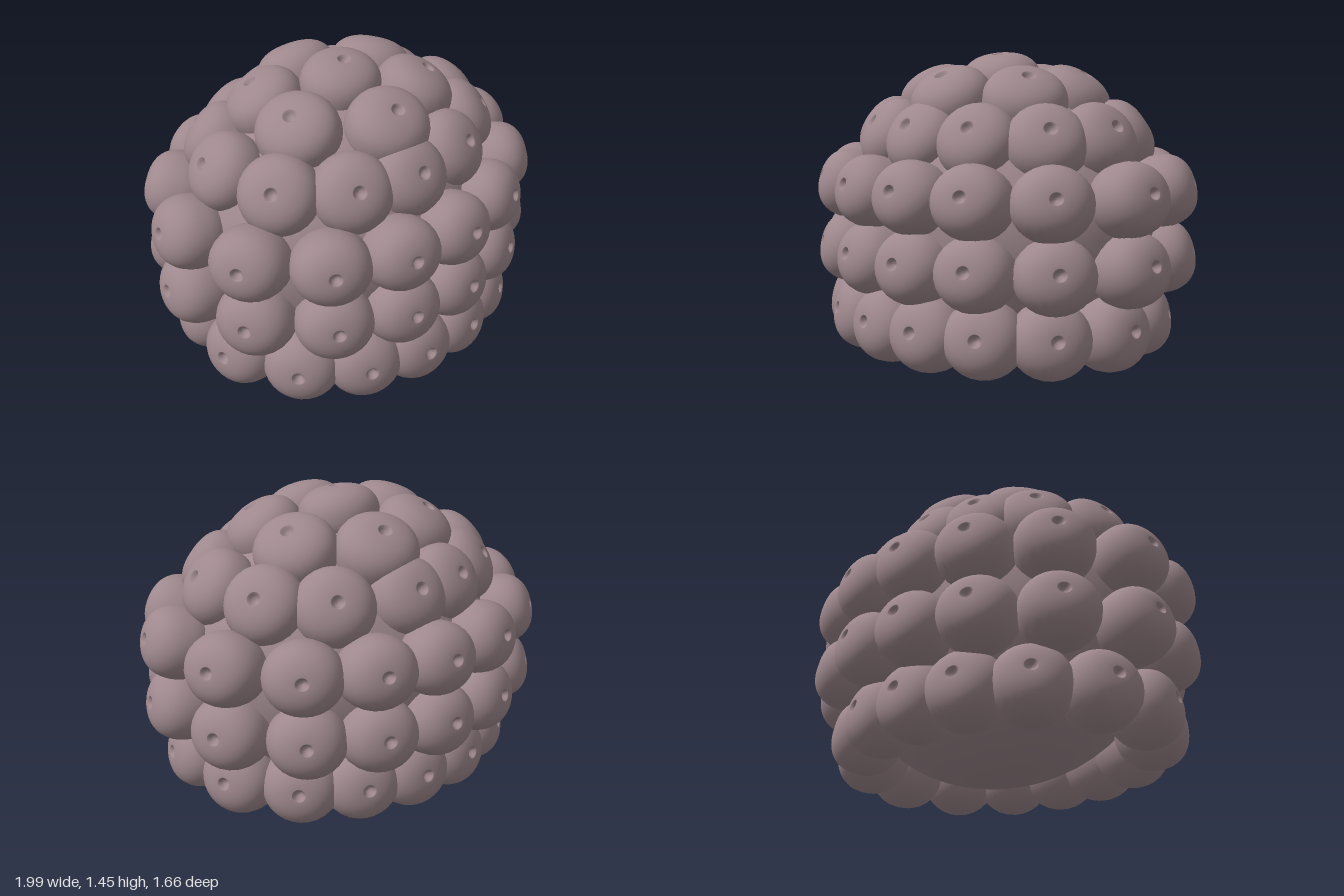
import * as THREE from 'three';

const rad = THREE.MathUtils.degToRad;
const UP = new THREE.Vector3(0, 1, 0);

// Rounded, blunt bump of unit radius with a small pit at its tip
function bumpGeometry() {
  const points = [];
  const pit = 0.16, power = 2 / 2.45;
  for (let i = 0; i <= 10; i++) {
    const a = (i / 10) * Math.PI / 2;
    points.push(new THREE.Vector2(Math.sin(a), -Math.cos(a)));
  }
  for (let i = 1; i <= 12; i++) {
    const a = (i / 12) * (Math.PI / 2 - 0.12);
    points.push(new THREE.Vector2(Math.cos(a) ** power, Math.sin(a) ** power));
  }
  points.push(
    new THREE.Vector2(pit, 0.98),
    new THREE.Vector2(pit * 0.75, 0.92),
    new THREE.Vector2(pit * 0.5, 0.84),
    new THREE.Vector2(0, 0.82)
  );
  return new THREE.LatheGeometry(points, 28);
}

export function createModel() {
  const model = new THREE.Group();
  model.name = 'berry';
  const skin = new THREE.MeshStandardMaterial({ color: 0x9e888d });
  skin.name = 'dusty mauve';

  // Smooth inner body that closes the gaps and forms the underside
  const core = new THREE.Mesh(new THREE.SphereGeometry(1, 48, 32), skin);
  core.name = 'core';
  core.scale.set(0.81, 0.65, 0.67);
  core.position.y = 0.652;
  model.add(core);

  const even = (count, start) =>
    Array.from({ length: count }, (_, i) => start + (i * 360) / count);

  // Rings of bumps: oval radii, height, z shift, upward tilt,
  // bump size [half width, depth, half height], angles from +x towards +z
  const rings = [
    { name: 'bottomRing', rx: 0.725, rz: 0.6, y: 0.213, z: 0.035, tilt: 12,
      size: [0.185, 0.17, 0.178], angles: even(15, 2) },
    { name: 'lowerRing', rx: 0.82, rz: 0.66, y: 0.508, z: 0, tilt: 14,
      size: [0.184, 0.17, 0.172], angles: even(14, 3) },
    { name: 'middleRing', rx: 0.82, rz: 0.66, y: 0.817, z: 0, tilt: 17,
      size: [0.184, 0.17, 0.169], angles: even(14, 4) },
    { name: 'upperRing', rx: 0.61, rz: 0.475, y: 1.05, z: 0, tilt: 34,
      size: [0.188, 0.155, 0.185], angles: [2, 26, 57, 92, 124, 156, 185, 211, 236, 263, 303, 334] },
    { name: 'crownRing', rx: 0.35, rz: 0.325, y: 1.225, z: 0, tilt: 60,
      size: [0.2, 0.15, 0.19], angles: [28, 90, 161, 211, 270, 334] },
    { name: 'topBump', rx: 0, rz: 0, y: 1.305, z: 0, tilt: 80,
      size: [0.2, 0.145, 0.185], angles: [80] }
  ];

  const geometry = bumpGeometry();
  for (const ring of rings) {
    const group = new THREE.Group();
    group.name = ring.name;
    for (const angle of ring.angles) {
      const c = Math.cos(rad(angle)), s = Math.sin(rad(angle));
      const a = ring.rx || 1, b = ring.rz || 1;
      const dist = ring.rx ? 1 / Math.hypot(c / a, s / b) : 0;
      const bump = new THREE.Mesh(geometry, skin);
      bump.name = 'bump';
      bump.position.set(dist * c, ring.y, ring.z + dist * s);
      bump.scale.set(...ring.size);
      // Tip points away from the oval and leans upward, width stays level
      const outward = new THREE.Vector3(c / (a * a), 0, s / (b * b)).normalize();
      const side = new THREE.Vector3().crossVectors(UP, outward);
      const tip = outward.multiplyScalar(Math.cos(rad(ring.tilt)));
      tip.y = Math.sin(rad(ring.tilt));
      const across = new THREE.Vector3().crossVectors(side, tip);
      bump.quaternion.setFromRotationMatrix(new THREE.Matrix4().makeBasis(side, tip, across));
      group.add(bump);
    }
    model.add(group);
  }
  return model;
}
